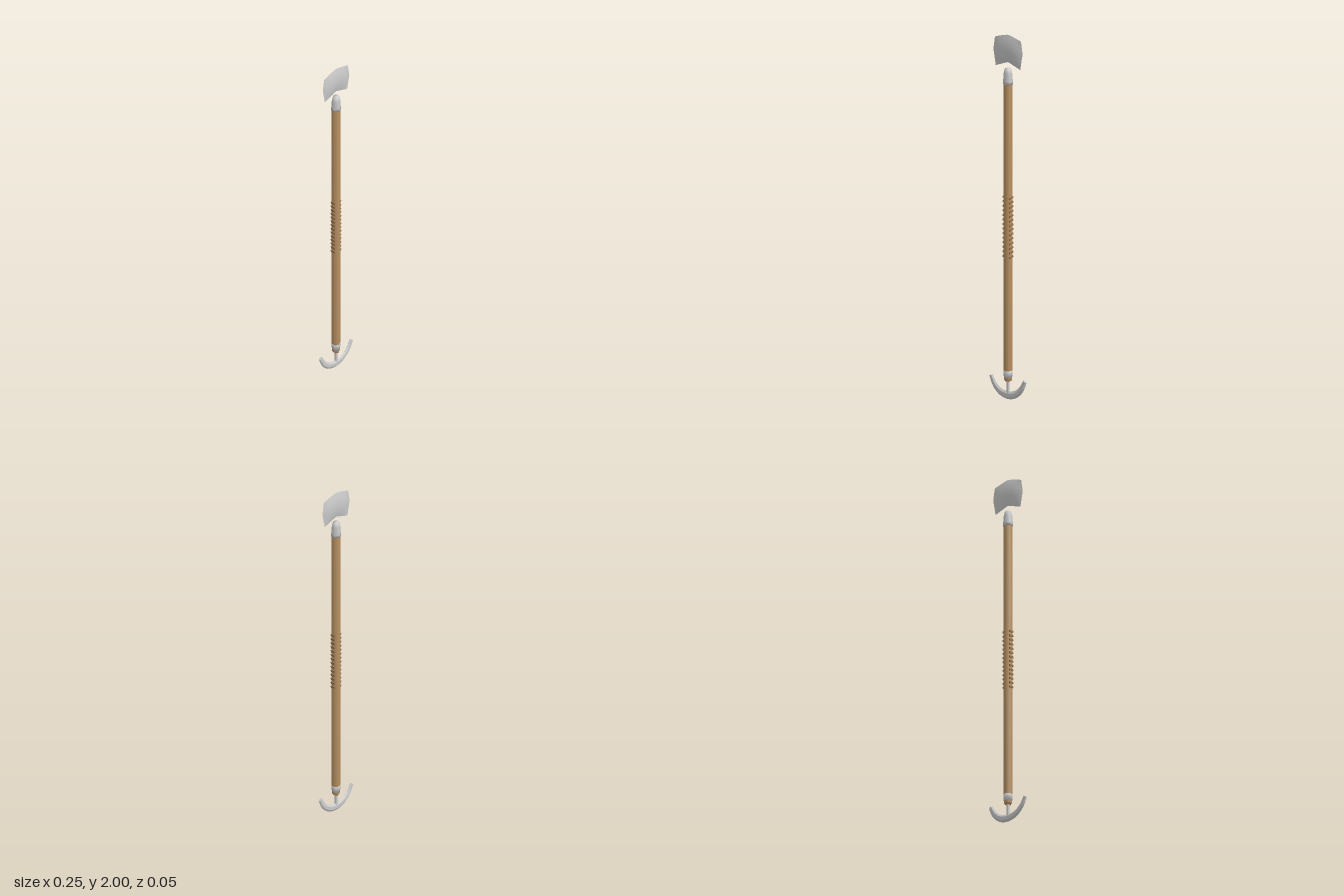
import * as THREE from 'three';

const metal = new THREE.MeshStandardMaterial({ color: 0xcccccc });
const wood = new THREE.MeshStandardMaterial({ color: 0xbc9464 });
const darkWood = new THREE.MeshStandardMaterial({ color: 0x9c7650 });

// Surface through a rows x cols grid of points; closeRing joins the last column to the first
function skin(rows, closeRing = false) {
  const cols = rows[0].length, index = [];
  const last = closeRing ? cols : cols - 1;
  for (let i = 0; i < rows.length - 1; i++) {
    for (let j = 0; j < last; j++) {
      const k = (j + 1) % cols;
      const a = i * cols + j, b = i * cols + k, c = a + cols, d = b + cols;
      index.push(a, b, d, a, d, c);
    }
  }
  const geo = new THREE.BufferGeometry();
  geo.setAttribute('position', new THREE.Float32BufferAttribute(rows.flat(2), 3));
  geo.setIndex(index);
  geo.computeVertexNormals();
  return geo;
}

// Six-sided turned part from [radius, y] pairs
function turned(name, profile, material) {
  const geo = new THREE.LatheGeometry(profile.map(([r, y]) => new THREE.Vector2(r, y)), 6);
  const mesh = new THREE.Mesh(geo, material);
  mesh.name = name;
  return mesh;
}

// Flared spade blade: two lens-shaped faces meeting in a sharp rim
function makeBlade() {
  const blade = new THREE.Group();
  blade.name = 'spadeBlade';
  const width = (v) => (v < 0.57 ? 0.084 + 0.016 * (v / 0.57) : 0.1 - 0.011 * ((v - 0.57) / 0.43));
  for (const side of [1, -1]) {
    const rows = [];
    for (let i = 0; i <= 14; i++) {
      const v = i / 14, row = [];
      for (let j = 0; j <= 20; j++) {
        const u = (j / 10 - 1) * side;
        const low = 1.85 - 0.03 * Math.abs(u), high = 2 - 0.024 * Math.abs(u) ** 1.3;
        const bulge = 0.011 * (1 - Math.abs(u) ** 3) * (1 - Math.abs(2 * v - 1) ** 2);
        row.push([u * width(v), low + (high - low) * v, bulge * side]);
      }
      rows.push(row);
    }
    const face = new THREE.Mesh(skin(rows), metal);
    face.name = side > 0 ? 'bladeFront' : 'bladeBack';
    blade.add(face);
  }
  return blade;
}

// Crescent: hexagonal sections swept between an outer and an inner arc
function makeCrescent() {
  const curve = (pts) => new THREE.CatmullRomCurve3(
    [...pts.slice(1).reverse().map(([x, y]) => [-x, y]), ...pts].map(([x, y]) => new THREE.Vector3(x, y, 0)));
  const outer = curve([[0, 0], [0.058, 0.015], [0.103, 0.056], [0.127, 0.108]]);
  const inner = curve([[0, 0.044], [0.046, 0.053], [0.081, 0.081], [0.105, 0.121]]);
  // Section corners: fraction from outer to inner arc, and z
  const section = [[0, 0], [0.28, 0.007], [0.72, 0.007], [1, 0], [0.72, -0.007], [0.28, -0.007]];
  const rows = [];
  for (let i = 0; i <= 28; i++) {
    const o = outer.getPoint(i / 28), n = inner.getPoint(i / 28);
    rows.push(section.map(([f, z]) => [o.x + (n.x - o.x) * f, o.y + (n.y - o.y) * f, z]));
  }
  // Blunt tips
  const tip = (row) => row.map(() => [0, 1, 2].map((k) => row.reduce((s, p) => s + p[k], 0) / row.length));
  rows.unshift(tip(rows[0]));
  rows.push(tip(rows[rows.length - 1]));
  const mat = metal.clone();
  mat.flatShading = true;
  mat.side = THREE.DoubleSide;
  const mesh = new THREE.Mesh(skin(rows, true), mat);
  mesh.name = 'crescentBlade';
  return mesh;
}

// Slanted grip ridges on both sides of the shaft
function makeGrip() {
  const grip = new THREE.Group();
  grip.name = 'grip';
  const count = 14;
  for (const side of [1, -1]) {
    for (let i = 0; i < count; i++) {
      const ridge = new THREE.Mesh(new THREE.BoxGeometry(0.006, 0.011, 0.03), darkWood);
      ridge.position.set(side * 0.0215, 0.783 + (i * 0.325) / (count - 1), 0);
      ridge.rotation.x = side * 0.2;
      ridge.name = 'gripRidge';
      grip.add(ridge);
    }
  }
  return grip;
}

export function createModel() {
  const model = new THREE.Group();
  model.name = 'spadeStaff';

  // Wooden pole with the grip in its middle
  model.add(turned('shaft', [[0, 0.15], [0.0235, 0.15], [0.0245, 0.9], [0.0235, 1.74], [0, 1.74]], wood));
  model.add(makeGrip());

  // Upper end: tapered ferrule and blade
  model.add(turned('upperFerrule',
    [[0, 1.728], [0.0265, 1.728], [0.0265, 1.745], [0.023, 1.79], [0.018, 1.815], [0, 1.82]], metal));
  model.add(makeBlade());

  // Lower end: ferrule, wooden stub, neck and crescent
  model.add(turned('lowerFerrule', [[0, 0.12], [0.0225, 0.12], [0.0255, 0.157], [0, 0.16]], metal));
  model.add(turned('stub', [[0, 0.1], [0.017, 0.1], [0.021, 0.108], [0.021, 0.122]], wood));
  model.add(turned('neck', [[0.007, 0.03], [0.007, 0.09], [0.011, 0.102]], metal));
  model.add(makeCrescent());

  return model;
}
